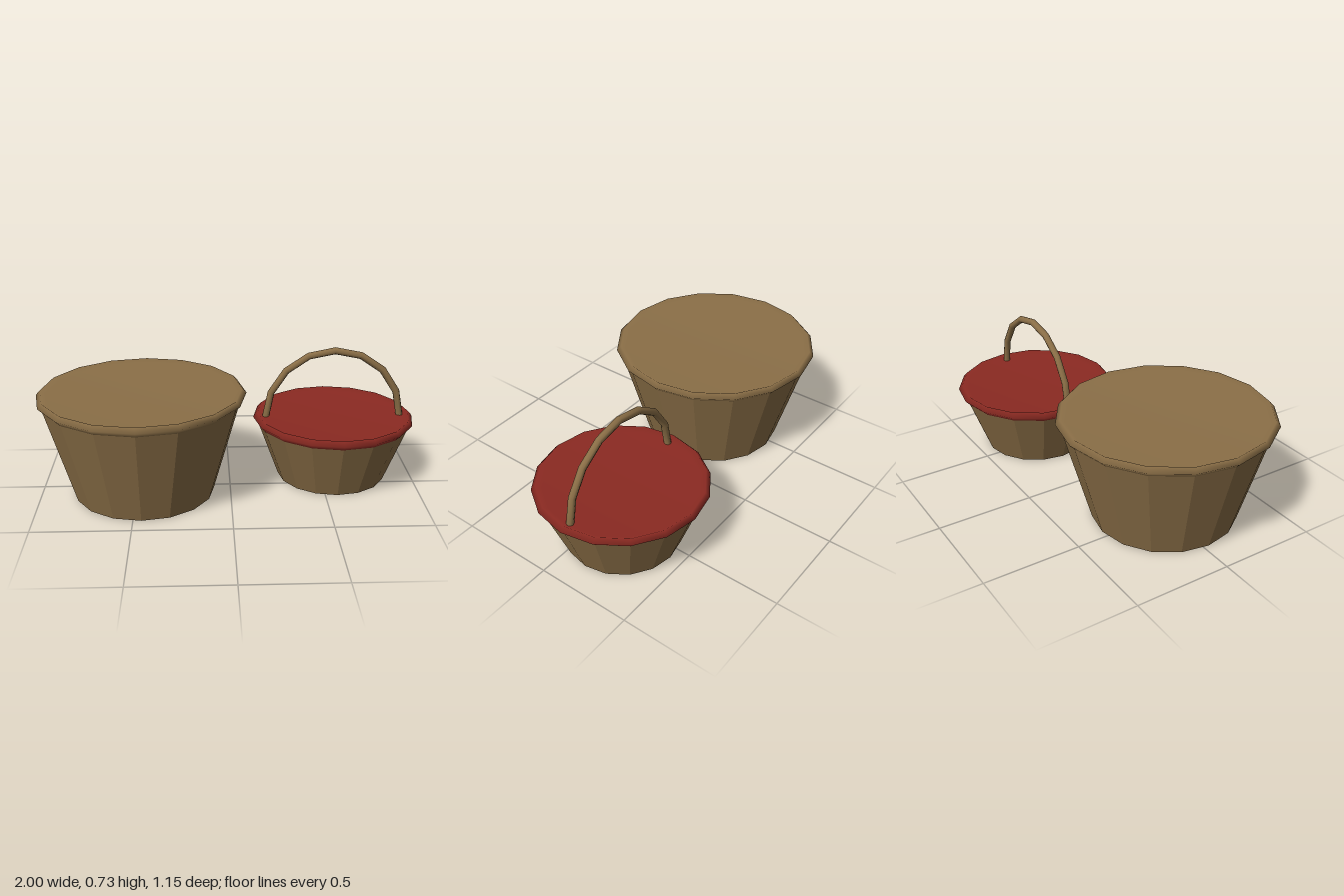
import * as THREE from 'three';

const SIDES = 16;
const wicker = new THREE.MeshStandardMaterial({ color: 0x8b6f47 });
wicker.name = 'wickerBrown';
const red = new THREE.MeshStandardMaterial({ color: 0x8b2a22 });
red.name = 'clothRed';

function part(name, geometry, material) {
  const mesh = new THREE.Mesh(geometry, material);
  mesh.name = name;
  return mesh;
}

function lathe(points) {
  return new THREE.LatheGeometry(points.map(p => new THREE.Vector2(...p)), SIDES);
}

// Tapered tub closed by a softly shaded lid that rolls over into the rim
function basket(name, { bottom, top, height, lining }) {
  const group = new THREE.Group();
  group.name = name;

  // faceted wall and base
  const wall = lathe([[0, 0], [bottom, 0], [top, height]]).toNonIndexed();
  wall.computeVertexNormals();
  group.add(part('body', wall, wicker));

  // bevelled rim running on into the slightly sunken top
  const rim = lathe([
    [top, height],
    [top + 0.025, height + 0.026],
    [top + 0.003, height + 0.05],
    [top - 0.025, height + 0.031],
    [0, height + 0.031],
  ]);
  group.add(part('rimAndTop', rim, lining));
  return group;
}

export function createModel() {
  const model = new THREE.Group();
  model.name = 'baskets';

  const large = basket('largeBasket', { bottom: 0.37, top: 0.517, height: 0.515, lining: wicker });
  large.position.set(-0.458, 0, 0.031);

  const small = basket('smallBasket', { bottom: 0.293, top: 0.409, height: 0.31, lining: red });
  small.position.set(0.565, 0, -0.14);

  // arched carrying handle
  const handle = part('handle', new THREE.TorusGeometry(0.367, 0.019, 8, 8, Math.PI), wicker);
  handle.scale.y = 1.02;
  handle.position.y = 0.333;
  small.add(handle);

  model.add(large, small);
  return model;
}
